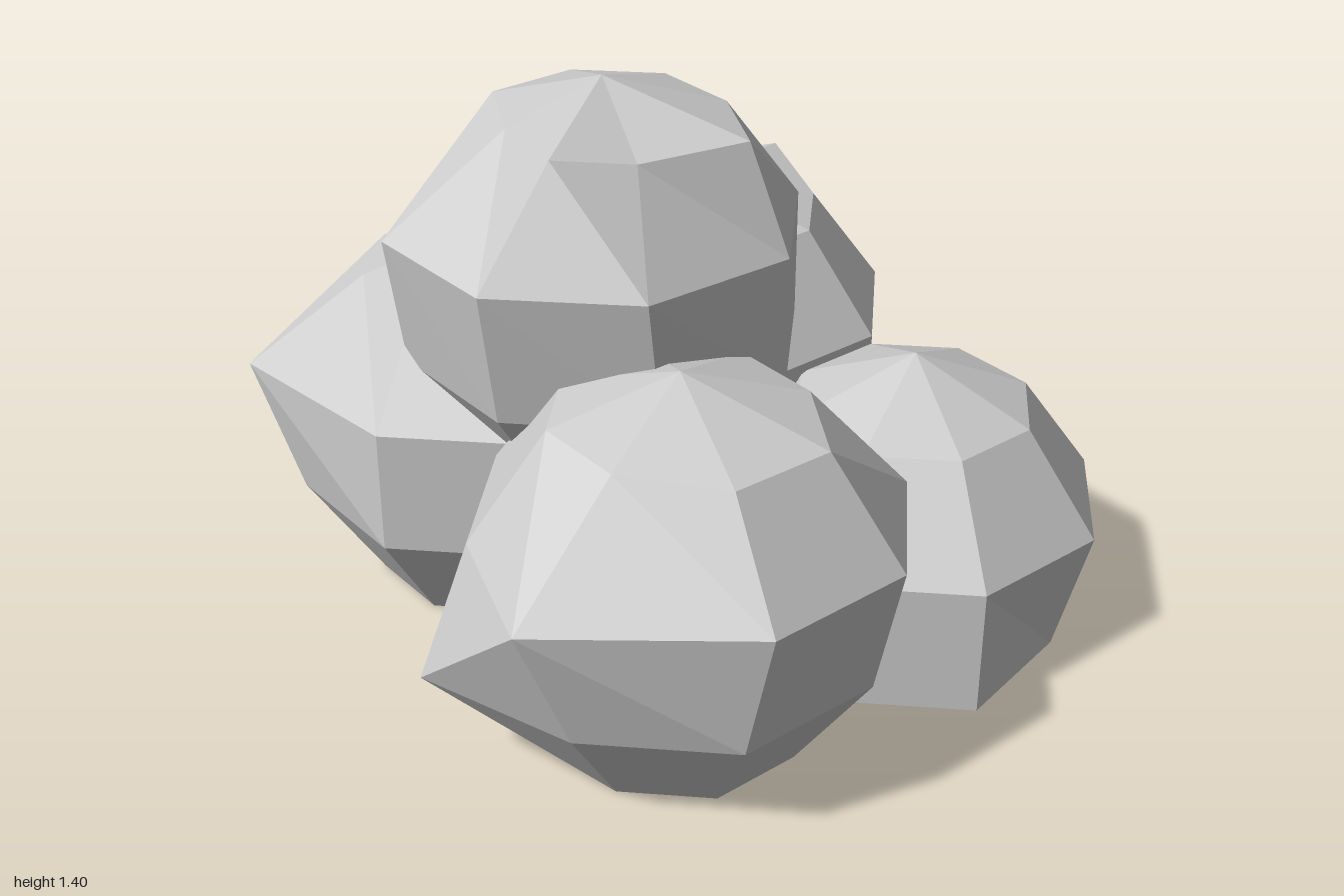
import * as THREE from 'three';

const material = new THREE.MeshStandardMaterial({ color: 0xcccccc, flatShading: true });
const COLS = 8, ROWS = 5, RADIUS = 0.51;

// Columns run: 0 left side (-x), 2 front, 4 right side (+x), 6 back.
// Each dent is [ring, column, x, y, z], moving one corner of the boulder.
// Each flip is [ring, column] of a facet whose diagonal runs the other way.
function boulder(name, centre, dents = [], flips = []) {
  const geo = new THREE.SphereGeometry(RADIUS, COLS, ROWS);
  geo.translate(...centre);
  const pos = geo.attributes.position;

  for (const [ring, col, x, y, z] of dents) {
    for (let c = 0; c <= COLS; c++) {
      // the pole and the seam hold several copies of a corner
      if (ring === 0 || c % COLS === col) pos.setXYZ(ring * (COLS + 1) + c, x, y, z);
    }
  }

  // flatten the underside onto the ground
  for (let i = 0; i < pos.count; i++) if (pos.getY(i) < 0.06) pos.setY(i, 0);

  for (const [ring, col] of flips) {
    const b = ring * (COLS + 1) + col, a = b + 1, c = b + COLS + 1, d = c + 1;
    const start = COLS * 3 + (ring - 1) * COLS * 6 + col * 6;
    [a, b, c, a, c, d].forEach((v, k) => geo.index.setX(start + k, v));
  }

  const flat = geo.toNonIndexed();
  flat.computeVertexNormals();
  const mesh = new THREE.Mesh(flat, material);
  mesh.name = name;
  return mesh;
}

export function createModel() {
  const group = new THREE.Group();
  group.name = 'boulderPile';
  group.add(
    boulder('frontBoulder', [0.25, 0.428, 0.4], [
      [1, 4, 0.61, 0.84, 0.4],
      [1, 3, 0.505, 0.84, 0.635],
      [2, 4, 0.795, 0.585, 0.395],
      [2, 3, 0.655, 0.585, 0.74],
      [2, 5, 0.65, 0.585, 0.05],
      [2, 2, 0.18, 0.585, 0.99],
      [3, 1, -0.16, 0.27, 0.85],
    ], [[2, 1]]),
    boulder('topBoulder', [-0.17, 0.892, 0], [
      [1, 1, -0.3, 1.32, 0.21],
      [1, 2, -0.09, 1.345, 0.365],
      [1, 4, 0.21, 1.315, 0],
      [2, 1, -0.515, 1.075, 0.41],
      [2, 2, -0.17, 1.075, 0.545],
      [2, 3, 0.173, 1.075, 0.4],
    ]),
    boulder('leftBoulder', [-0.515, 0.442, 0], [
      [2, 1, -1, 0.6, 0.345],
    ]),
    boulder('backBoulder', [-0.17, 0.455, -0.51], [
      [1, 6, -0.14, 0.92, -0.865],
      [1, 7, -0.35, 0.87, -0.785],
    ]),
    boulder('lowBoulder', [0.515, 0.172, -0.305], [
      [0, 0, 0.515, 0.715, -0.305],
      [3, 4, 0.92, 0, -0.305],
      [3, 6, 0.515, 0, -0.7],
    ]),
  );
  return group;
}
